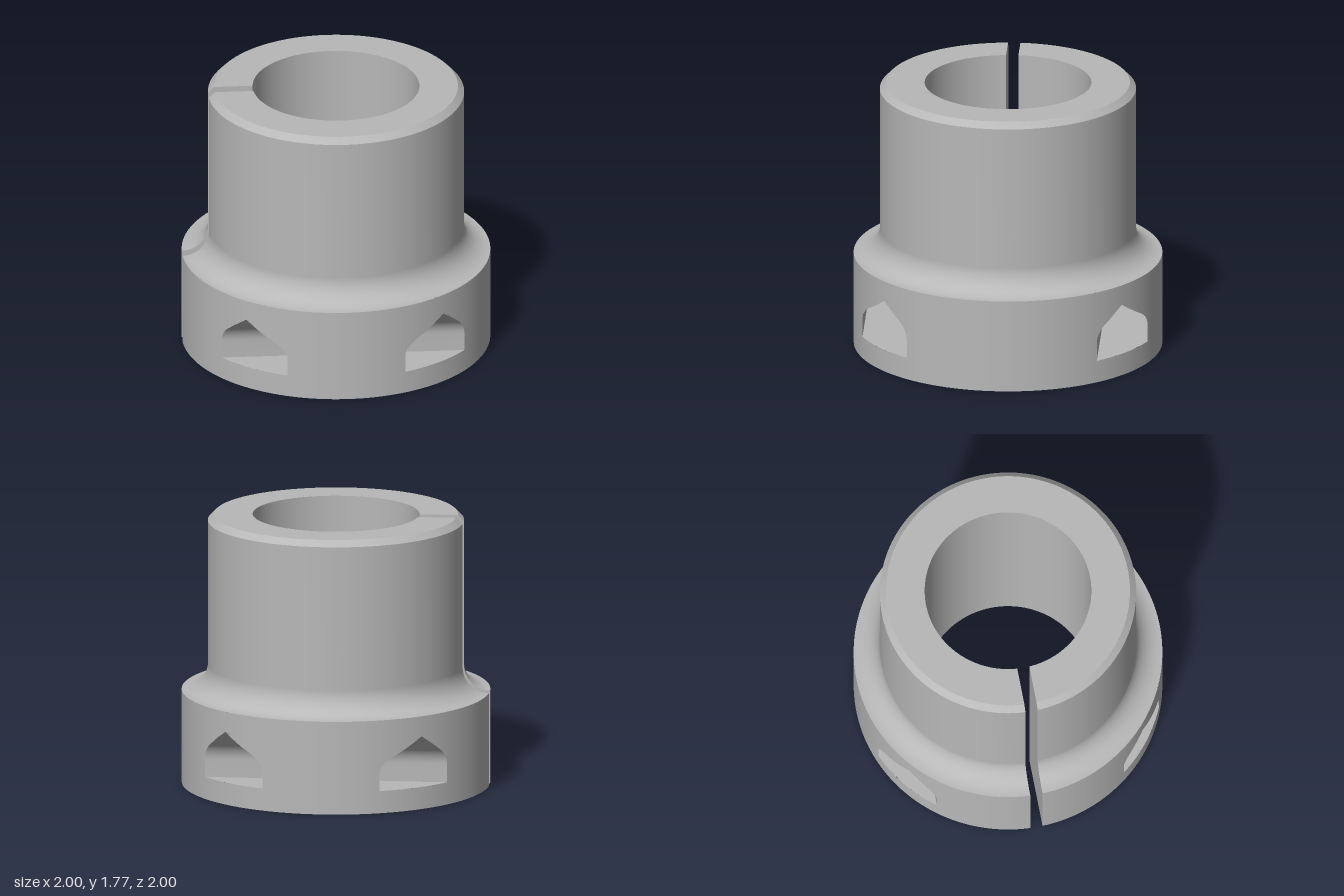
import * as THREE from 'three';
import { toCreasedNormals } from 'three/addons/utils/BufferGeometryUtils.js';

const BORE = 0.54, BODY = 0.83, FLANGE = 1, FLANGE_TOP = 0.615, TOP = 1.775, CHAMFER = 0.04;
const FILLET = FLANGE - BODY, SLOT = 0.04; // SLOT is half the slot's width
const HOLE_Z = 0.77, HOLE_R = 0.154, HOLE_BOTTOM = 0.147, HOLE_MID = 0.265;
const SEGMENTS = 144;

// Height of the teardrop hole's roof at a sideways distance d from its middle
function roof(d) {
  const a = Math.min(Math.abs(d), HOLE_R);
  return a < HOLE_R * Math.SQRT1_2
    ? HOLE_MID + HOLE_R * Math.SQRT2 - a
    : HOLE_MID + Math.sqrt(HOLE_R * HOLE_R - a * a);
}

// Sideways sample positions across a hole, from +HOLE_R to -HOLE_R
function holeSamples() {
  const half = [];
  for (let i = 0; i <= 8; i++) half.push(HOLE_R * Math.cos((i / 8) * Math.PI / 4));
  for (let i = 3; i > 0; i--) half.push(HOLE_R * Math.SQRT1_2 * i / 4);
  return [...half, 0, ...half.map((d) => -d).reverse()];
}

// Geometry from a list of quads, each with four corners in counterclockwise order
function quadGeometry(quads) {
  const positions = [];
  for (const [a, b, c, d] of quads) positions.push(...a, ...b, ...c, ...a, ...c, ...d);
  const geometry = new THREE.BufferGeometry();
  geometry.setAttribute('position', new THREE.Float32BufferAttribute(positions, 3));
  return geometry;
}

// Turned surface whose ends stop at the parallel walls of the slot on the -x side
function turned(points) {
  const geometry = new THREE.LatheGeometry(
    points.map(([r, y]) => new THREE.Vector2(r, y)), SEGMENTS, -Math.PI / 2, Math.PI * 2);
  const { position, normal } = geometry.attributes;
  const up = new THREE.Vector3(0, 1, 0), v = new THREE.Vector3();
  for (let i = 0; i < position.count; i++) {
    const t = Math.floor(i / points.length) / SEGMENTS;
    v.fromBufferAttribute(position, i);
    const turn = Math.asin(SLOT / Math.hypot(v.x, v.z)) * (1 - 2 * t);
    v.applyAxisAngle(up, turn);
    position.setXYZ(i, v.x, v.y, v.z);
    v.fromBufferAttribute(normal, i).applyAxisAngle(up, turn);
    normal.setXYZ(i, v.x, v.y, v.z);
  }
  return geometry;
}

// Flange rim: upright strips that leave the hole openings free
function flangeRim() {
  const gap = Math.asin(SLOT / FLANGE);
  const start = -Math.PI / 2 + gap, end = 1.5 * Math.PI - gap;
  const angles = [];
  for (let i = 0; i <= SEGMENTS; i++) angles.push(start + (end - start) * i / SEGMENTS);
  for (const d of holeSamples()) {
    const a = Math.acos(HOLE_Z + d);
    angles.push(a, -a, Math.PI - a, Math.PI + a);
  }
  angles.sort((a, b) => a - b);

  const offset = (a) => Math.abs(Math.cos(a)) - HOLE_Z;
  const at = (a, y) => [Math.sin(a) * FLANGE, y, Math.cos(a) * FLANGE];
  const quads = [];
  for (let i = 0; i < angles.length - 1; i++) {
    const p = angles[i], q = angles[i + 1];
    if (q - p < 1e-6) continue;
    const strip = (p0, q0, p1, q1) => quads.push([at(p, p0), at(q, q0), at(q, q1), at(p, p1)]);
    if (Math.abs(offset((p + q) / 2)) < HOLE_R) {
      strip(0, 0, HOLE_BOTTOM, HOLE_BOTTOM);
      strip(roof(offset(p)), roof(offset(q)), FLANGE_TOP, FLANGE_TOP);
    } else {
      strip(0, 0, FLANGE_TOP, FLANGE_TOP);
    }
  }
  const geometry = quadGeometry(quads);
  const normals = geometry.attributes.position.clone();
  for (let i = 0; i < normals.count; i++) normals.setY(i, 0);
  geometry.setAttribute('normal', normals);
  geometry.normalizeNormals();
  return geometry;
}

// Inner walls of a teardrop hole running along x, ending on the rim
function holeWalls() {
  const ds = holeSamples();
  const loop = [
    ...ds.map((d) => [HOLE_Z + d, roof(d)]),
    ...ds.slice().reverse().map((d) => [HOLE_Z + d, HOLE_BOTTOM]),
  ];
  const at = ([z, y], side) => [side * Math.sqrt(FLANGE * FLANGE - z * z), y, z];
  const quads = loop.map((p, i) => {
    const q = loop[(i + 1) % loop.length];
    return [at(p, 1), at(p, -1), at(q, -1), at(q, 1)];
  });
  return toCreasedNormals(quadGeometry(quads), 0.6);
}

export function createModel() {
  const model = new THREE.Group();
  model.name = 'slottedCollar';
  const grey = new THREE.MeshStandardMaterial({ color: 0xb8b8b8 });
  grey.name = 'grey';
  const add = (name, geometry) => {
    const mesh = new THREE.Mesh(geometry, grey);
    mesh.name = name;
    model.add(mesh);
    return mesh;
  };

  // Concave fillet from the flange up to the sleeve
  const fillet = [];
  for (let i = 0; i <= 20; i++) {
    const a = (i / 20) * Math.PI / 2;
    fillet.push([FLANGE - FILLET * Math.sin(a), FLANGE_TOP + FILLET * (1 - Math.cos(a))]);
  }
  const shoulder = [BODY, TOP - CHAMFER], lip = [BODY - CHAMFER, TOP];

  // Turned surfaces
  add('sleeve', turned([...fillet, shoulder]));
  add('topChamfer', turned([shoulder, lip]));
  add('topFace', turned([lip, [BORE, TOP]]));
  add('bore', turned([[BORE, TOP], [BORE, 0]]));
  add('bottomFace', turned([[BORE, 0], [FLANGE, 0]]));
  add('flangeRim', flangeRim());

  // Teardrop holes through the flange, front and back
  const walls = holeWalls();
  add('frontHole', walls);
  add('backHole', walls).rotation.y = Math.PI;

  // Flat walls of the slot
  const section = [[BORE, 0], [FLANGE, 0], ...fillet, shoulder, lip, [BORE, TOP]]
    .map(([r, y]) => new THREE.Vector2(Math.sqrt(r * r - SLOT * SLOT), y));
  const frontWall = new THREE.ShapeGeometry(new THREE.Shape(section));
  frontWall.rotateY(Math.PI).translate(0, 0, SLOT);
  add('slotFrontWall', frontWall);
  const mirrored = section.map((p) => new THREE.Vector2(-p.x, p.y)).reverse();
  add('slotBackWall', new THREE.ShapeGeometry(new THREE.Shape(mirrored)).translate(0, 0, -SLOT));

  return model;
}
